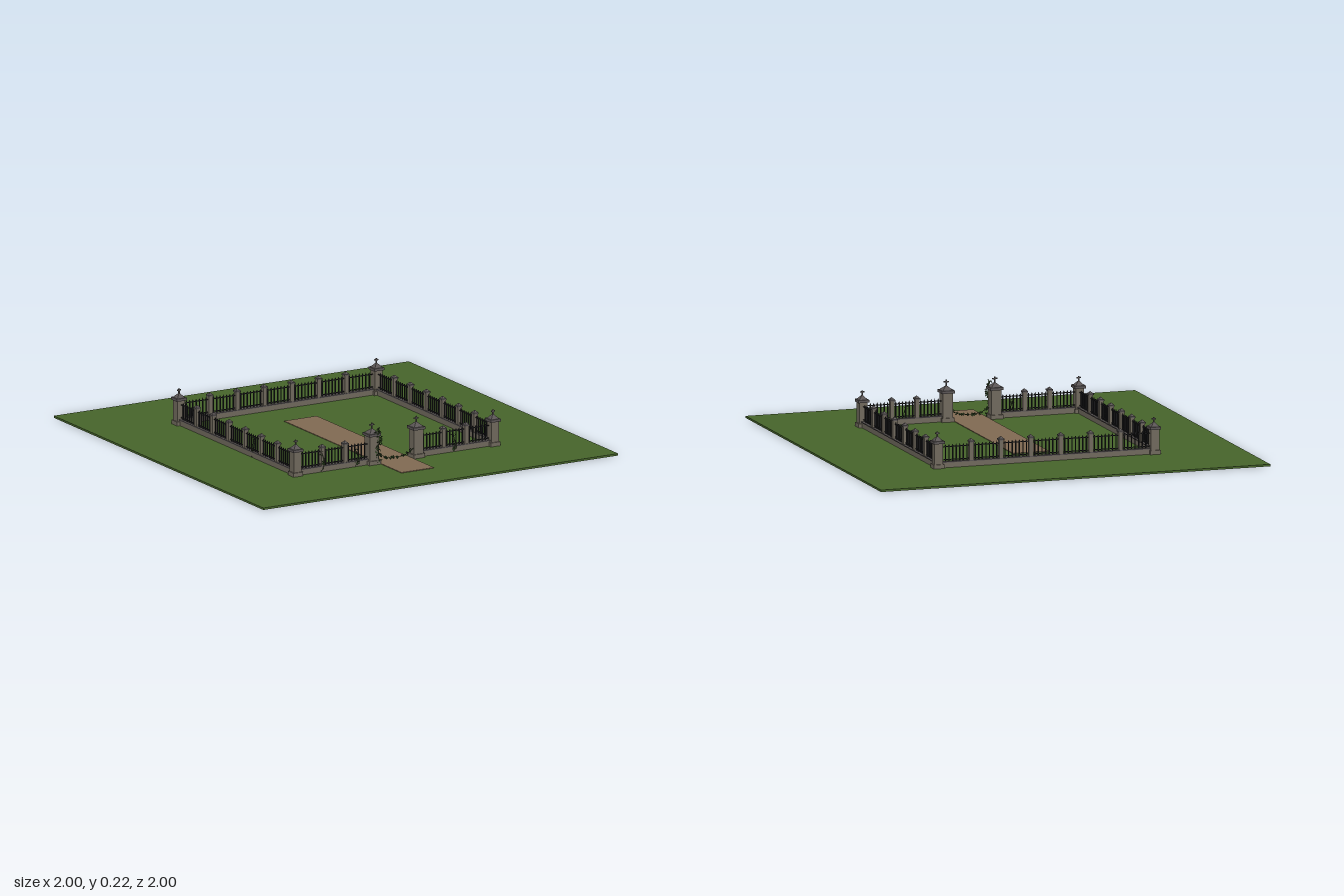
import * as THREE from 'three';
import { mergeGeometries } from 'three/addons/utils/BufferGeometryUtils.js';

const mat = (name, color, extra = {}) => {
  const m = new THREE.MeshStandardMaterial({ color, ...extra });
  m.name = name;
  return m;
};

export function createModel() {
  const root = new THREE.Group();
  root.name = 'walledYard';
  const grass = mat('grass', 0x46642b);
  const dirt = mat('dirt', 0x806a52);
  const stone = mat('stone', 0x70695d);
  const capStone = mat('capStone', 0x5a5555);
  const iron = mat('iron', 0x1e1e20);
  const leaf = mat('leaf', 0x2b401f, { side: THREE.DoubleSide });

  const GROUND = 0.01, EDGE = 0.556, GATE = 0.125;

  let seed = 7;
  const rand = () => (seed = (seed * 16807) % 2147483647) / 2147483647;

  // Boxes are placed by the middle of their base
  const box = (w, h, d, x, y, z) => new THREE.BoxGeometry(w, h, d).translate(x, y + h / 2, z);
  const pyramid = (w, h, x, y, z) =>
    new THREE.ConeGeometry(w / Math.SQRT2, h, 4, 1).toNonIndexed()
      .rotateY(Math.PI / 4).translate(x, y + h / 2, z);
  const add = (parent, name, geometries, material) => {
    const flat = geometries.map(g => {
      const n = g.index ? g.toNonIndexed() : g;
      n.computeVertexNormals();
      return n;
    });
    const mesh = new THREE.Mesh(mergeGeometries(flat), material);
    mesh.name = name;
    parent.add(mesh);
    return mesh;
  };

  // Lawn and path
  add(root, 'lawn', [box(2, GROUND, 2, 0, 0, 0)], grass);
  add(root, 'path', [box(0.184, 0.003, 1.12, 0, GROUND, 0.22)], dirt);

  // Large pillar: plinth, shaft, slab, pyramid and a cross facing the front
  function pillar(name, x, z, w, h) {
    const g = new THREE.Group();
    g.name = name;
    g.position.set(x, GROUND, z);
    add(g, 'shaft', [box(w + 0.012, 0.02, w + 0.012, 0, 0, 0), box(w, h, w, 0, 0, 0)], stone);
    add(g, 'cap', [
      box(w + 0.014, 0.013, w + 0.014, 0, h, 0),
      pyramid(w + 0.002, 0.024, 0, h + 0.013, 0),
    ], capStone);
    const y = h + 0.031, t = 0.006, c = w * 0.62;
    add(g, 'cross', [
      box(t, c, t, 0, y, 0),
      box(c * 0.8, t, t, 0, y + c * 0.6, 0),
    ], capStone);
    root.add(g);
  }
  for (const sx of [-1, 1]) {
    for (const sz of [-1, 1]) pillar('cornerPillar', sx * EDGE, sz * EDGE, 0.042, 0.122);
    pillar('gatePillar', sx * GATE, 0.553, 0.052, 0.142);
  }

  // A straight fence of given length along local x, split by small piers
  function fence(name, length, piers, x, z, turn) {
    const g = new THREE.Group();
    g.name = name;
    g.position.set(x, GROUND, z);
    g.rotation.y = turn;
    add(g, 'lowWall', [box(length, 0.025, 0.022, 0, 0, 0)], stone);
    add(g, 'coping', [box(length, 0.005, 0.027, 0, 0.025, 0)], capStone);
    add(g, 'piers', piers.map(p => box(0.022, 0.118, 0.022, p, 0, 0)), stone);
    add(g, 'pierCaps', piers.flatMap(p => [
      box(0.028, 0.007, 0.028, p, 0.118, 0),
      pyramid(0.026, 0.012, p, 0.125, 0),
    ]), capStone);
    add(g, 'rails', [
      box(length, 0.004, 0.004, 0, 0.1, 0),
      box(length, 0.004, 0.004, 0, 0.036, 0),
    ], iron);
    // Pointed bars, spread evenly through every bay
    const stops = [-length / 2, ...piers, length / 2];
    const bars = [];
    for (let i = 0; i < stops.length - 1; i++) {
      const a = stops[i] + 0.012, span = stops[i + 1] - stops[i] - 0.024;
      const n = Math.max(3, Math.round(span / 0.018));
      for (let k = 0; k < n; k++) {
        const p = a + span * (k + 0.5) / n;
        bars.push(box(0.005, 0.078, 0.005, p, 0.028, 0));
        bars.push(pyramid(0.007, 0.011, p, 0.104, 0));
      }
    }
    add(g, 'bars', bars, iron);
    root.add(g);
  }
  const long = 2 * EDGE - 0.04;
  const six = [-0.383, -0.23, -0.077, 0.077, 0.23, 0.383];
  fence('backFence', long, six, 0, -EDGE, 0);
  fence('leftFence', long, six, EDGE, 0, Math.PI / 2);
  fence('rightFence', long, six, -EDGE, 0, Math.PI / 2);
  const mid = (GATE + EDGE) / 2;
  for (const s of [-1, 1]) {
    const piers = [0.277, 0.405].map(p => s * (p - mid)).sort((a, b) => a - b);
    fence('frontFence', EDGE - GATE - 0.04, piers, s * mid, 0.553, 0);
  }

  // Ivy: small leaves scattered around a stem curve
  function ivy(name, points, count, spread) {
    const curve = new THREE.CatmullRomCurve3(points.map(p => new THREE.Vector3(...p)));
    const parts = [new THREE.TubeGeometry(curve, 16, 0.0015, 4)];
    for (let i = 0; i < count; i++) {
      const p = curve.getPoint(rand());
      parts.push(new THREE.CircleGeometry(0.004 + rand() * 0.0025, 4)
        .rotateX((rand() - 0.5) * 2).rotateY((rand() - 0.5) * 2.4)
        .translate(p.x + (rand() - 0.5) * spread, p.y + (rand() - 0.5) * 0.012,
          p.z + (rand() - 0.5) * 0.012));
    }
    add(root, name, parts, leaf);
  }
  ivy('gatePillarIvy', [[-0.098, 0.02, 0.581], [-0.108, 0.08, 0.584], [-0.1, 0.14, 0.584],
    [-0.112, 0.19, 0.584]], 85, 0.026);
  ivy('gateVine', [[-0.1, 0.06, 0.57], [-0.05, 0.036, 0.574], [0, 0.032, 0.574],
    [0.05, 0.036, 0.574], [0.1, 0.06, 0.57]], 60, 0.012);
  for (const [x, h] of [[-0.41, 0.11], [-0.22, 0.1], [0.33, 0.1]]) {
    ivy('frontIvy', [[x, 0.02, 0.567], [x + 0.008, h / 2, 0.569], [x - 0.003, h, 0.562]], 24, 0.018);
  }
  ivy('rightIvy', [[-0.565, 0.02, 0.16], [-0.567, 0.06, 0.166], [-0.56, 0.11, 0.157]], 24, 0.014);

  return root;
}
